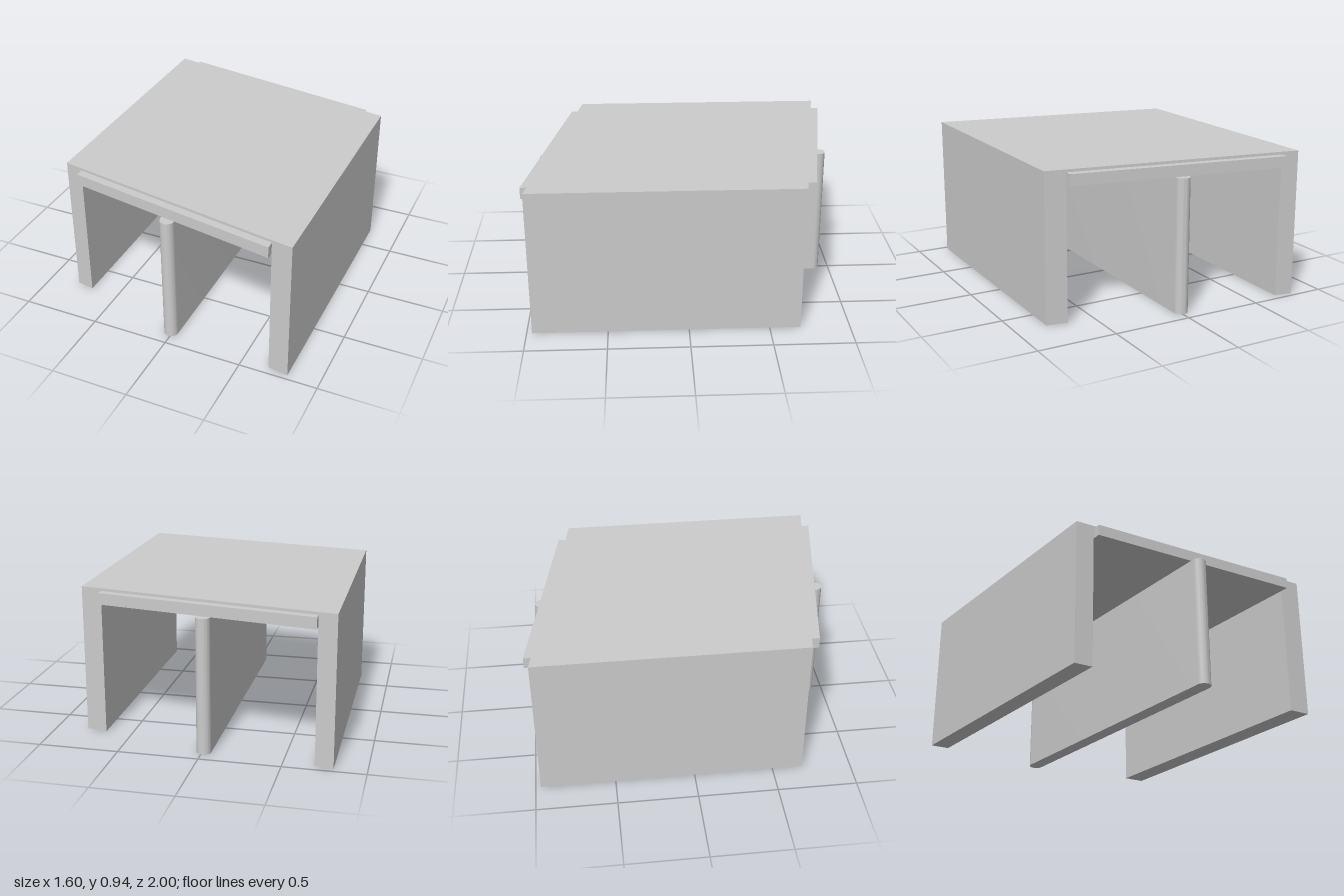
import * as THREE from 'three';
import { toCreasedNormals } from 'three/addons/utils/BufferGeometryUtils.js';

const SKEW = 0.172; // z gained per unit of x

// Slide every vertex along z in proportion to x
function shear(geometry) {
  const g = geometry.index ? geometry.toNonIndexed() : geometry;
  g.applyMatrix4(new THREE.Matrix4().set(
    1, 0, 0, 0,
    0, 1, 0, 0,
    SKEW, 0, 1, 0,
    0, 0, 0, 1));
  g.computeVertexNormals();
  return g;
}

export function createModel() {
  const group = new THREE.Group();
  const material = new THREE.MeshStandardMaterial({ color: 0xcccccc });
  const add = (name, geometry) => {
    const mesh = new THREE.Mesh(geometry, material);
    mesh.name = name;
    group.add(mesh);
    return mesh;
  };

  const left = 0.8, right = -0.803;           // outer faces
  const innerLeft = 0.67, innerRight = -0.69; // inner faces
  const height = 0.935, soffit = 0.847, halfDepth = 0.83;

  // Deck and side walls: one portal section, swept through and skewed
  const portal = new THREE.Shape([
    [right, 0], [innerRight, 0], [innerRight, soffit], [innerLeft, soffit],
    [innerLeft, 0], [left, 0], [left, height], [right, height],
  ].map(([x, y]) => new THREE.Vector2(x, y)));
  const portalGeometry = new THREE.ExtrudeGeometry(portal, { depth: 2 * halfDepth, bevelEnabled: false });
  portalGeometry.translate(0, 0, -halfDepth);
  add('deckAndSideWalls', shear(portalGeometry));

  // Edge beams projecting past both ends of the deck
  const beamTop = 0.918, beamDepth = 0.051;
  for (const [name, side] of [['frontEdgeBeam', 1], ['backEdgeBeam', -1]]) {
    const beam = new THREE.BoxGeometry(innerLeft - innerRight, beamTop - soffit, beamDepth);
    beam.translate((innerLeft + innerRight) / 2, (beamTop + soffit) / 2, side * (halfDepth + beamDepth / 2));
    add(name, shear(beam));
  }

  // Middle wall with half-round noses
  const radius = 0.045, noseCentre = 0.89;
  const plan = new THREE.Shape();
  plan.absarc(0, noseCentre, radius, 0, Math.PI, false);
  plan.absarc(0, -noseCentre, radius, Math.PI, 2 * Math.PI, false);
  plan.closePath();
  const wall = new THREE.ExtrudeGeometry(plan, { depth: soffit, bevelEnabled: false, curveSegments: 16 });
  wall.rotateX(-Math.PI / 2);
  wall.translate(-0.01, 0, 0);
  add('middleWall', toCreasedNormals(wall, 0.6));

  return group;
}
